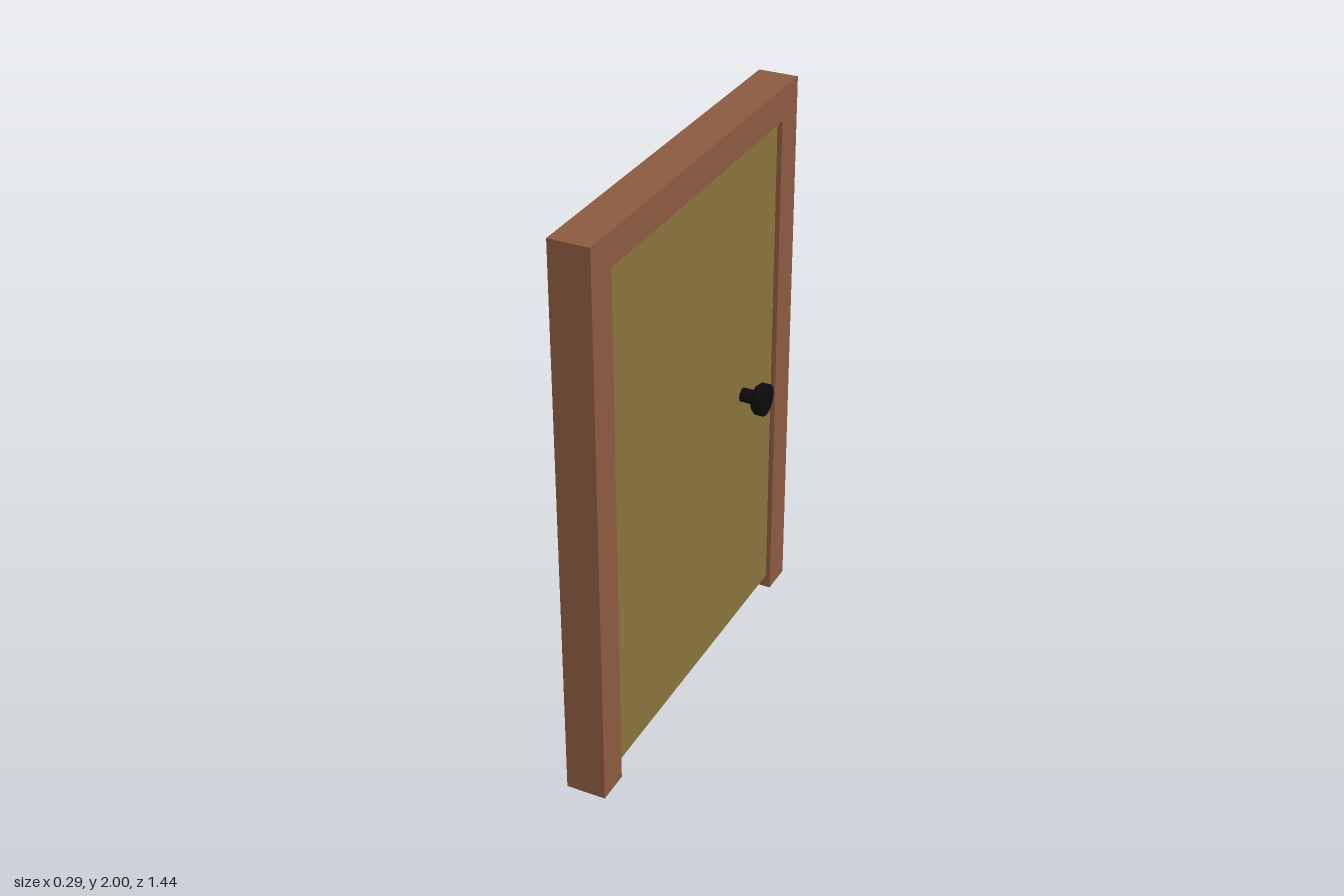
import * as THREE from 'three';

const WOOD = new THREE.MeshStandardMaterial({ color: 0x8b5a40 });
const PANEL = new THREE.MeshStandardMaterial({ color: 0x88733a });
const BLACK = new THREE.MeshStandardMaterial({ color: 0x0c0c0d, flatShading: true });

const FRAME_DEPTH = 0.14, HALF_WIDTH = 0.72, HEIGHT = 2;
const OPEN_HALF = 0.6, OPEN_TOP = 1.885;
const DOOR_DEPTH = 0.106, DOOR_BOTTOM = 0.05;

function createFrame() {
  // Upside-down U outline, drawn in the z-y plane
  const shape = new THREE.Shape([
    [-HALF_WIDTH, 0], [-OPEN_HALF, 0], [-OPEN_HALF, OPEN_TOP], [OPEN_HALF, OPEN_TOP],
    [OPEN_HALF, 0], [HALF_WIDTH, 0], [HALF_WIDTH, HEIGHT], [-HALF_WIDTH, HEIGHT],
  ].map(([x, y]) => new THREE.Vector2(x, y)));
  const geometry = new THREE.ExtrudeGeometry(shape, { depth: FRAME_DEPTH, bevelEnabled: false });
  geometry.translate(0, 0, -FRAME_DEPTH / 2).rotateY(Math.PI / 2);
  const frame = new THREE.Mesh(geometry, WOOD);
  frame.name = 'doorFrame';
  return frame;
}

function createDoor() {
  const height = OPEN_TOP - DOOR_BOTTOM;
  const door = new THREE.Mesh(new THREE.BoxGeometry(DOOR_DEPTH, height, OPEN_HALF * 2), PANEL);
  door.position.y = DOOR_BOTTOM + height / 2;
  door.name = 'doorPanel';
  return door;
}

function createKnob(side) {
  // Neck, chamfered back and flat face, turned around the x axis
  const profile = [
    [0.025, 0.04], [0.025, 0.104], [0.045, 0.104], [0.057, 0.117], [0.057, 0.146], [0, 0.146],
  ].map(([r, h]) => new THREE.Vector2(r, h));
  const knob = new THREE.Mesh(new THREE.LatheGeometry(profile, 20), BLACK);
  knob.rotation.z = -side * Math.PI / 2;
  knob.position.set(0, 0.967, -0.355);
  knob.name = side > 0 ? 'leftKnob' : 'rightKnob';
  return knob;
}

export function createModel() {
  const model = new THREE.Group();
  model.name = 'door';
  model.add(createFrame(), createDoor(), createKnob(1), createKnob(-1));
  return model;
}
